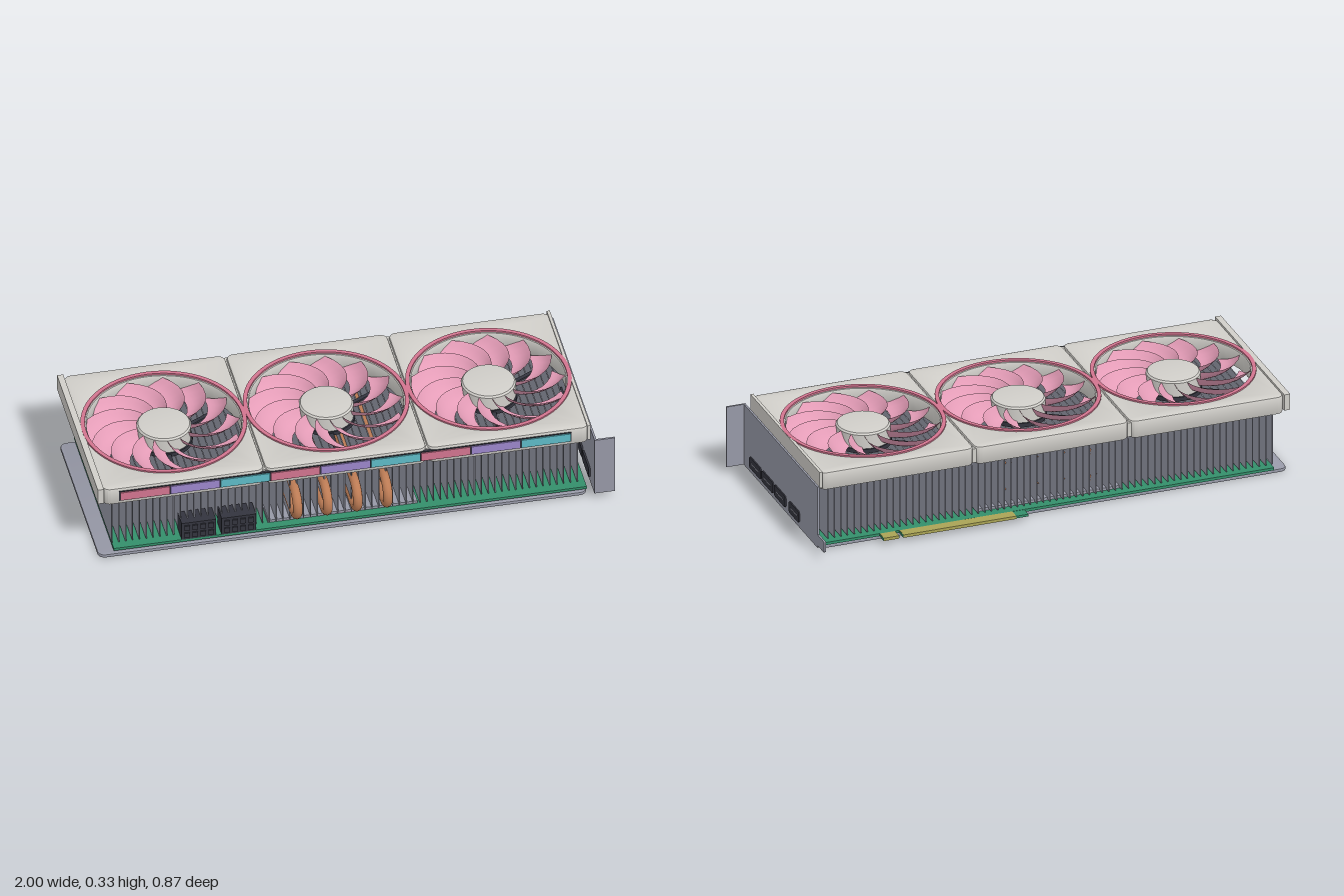
import * as THREE from 'three';
import { mergeGeometries, toCreasedNormals } from 'three/addons/utils/BufferGeometryUtils.js';

const mat = (name, color, side = THREE.FrontSide) => {
  const m = new THREE.MeshStandardMaterial({ color, side });
  m.name = name;
  return m;
};

export function createModel() {
  const M = {
    shell: mat('shell white', 0xd0cec9),
    pink: mat('blade pink', 0xe59db8, THREE.DoubleSide),
    rose: mat('ring rose', 0xd2748f, THREE.DoubleSide),
    purple: mat('purple', 0x9b86cb),
    teal: mat('teal', 0x5dbac6),
    green: mat('board green', 0x348f6b),
    metal: mat('metal grey', 0x9698a6),
    dark: mat('dark plastic', 0x33343e),
    copper: mat('copper', 0xbd7c55),
    gold: mat('contact gold', 0xa9a355),
  };
  const root = new THREE.Group();
  const add = (name, geo, material, parent = root) => {
    const mesh = new THREE.Mesh(geo, material);
    mesh.name = name;
    parent.add(mesh);
    return mesh;
  };
  // box given by its minimum and maximum on each axis
  const boxGeo = (x0, x1, y0, y1, z0, z1) =>
    new THREE.BoxGeometry(x1 - x0, y1 - y0, z1 - z0)
      .translate((x0 + x1) / 2, (y0 + y1) / 2, (z0 + z1) / 2);
  const box = (name, material, ...b) => add(name, boxGeo(...b), material);

  // rounded rectangle outline
  const roundRect = (x0, x1, y0, y1, r) => {
    const s = new THREE.Shape();
    s.absarc(x1 - r, y1 - r, r, 0, Math.PI / 2);
    s.absarc(x0 + r, y1 - r, r, Math.PI / 2, Math.PI);
    s.absarc(x0 + r, y0 + r, r, Math.PI, Math.PI * 1.5);
    s.absarc(x1 - r, y0 + r, r, Math.PI * 1.5, Math.PI * 2);
    return s;
  };
  // horizontal slab with bevelled edges and an optional round hole
  const slab = (x0, x1, y0, y1, z0, z1, r, bevel, hole) => {
    const s = roundRect(x0 + bevel, x1 - bevel, -z1 + bevel, -z0 - bevel, r);
    if (hole) {
      const h = new THREE.Path();
      h.absarc(hole.x, -hole.z, hole.r + bevel, 0, Math.PI * 2, true);
      s.holes.push(h);
    }
    const g = new THREE.ExtrudeGeometry(s, {
      depth: y1 - y0 - 2 * bevel, bevelEnabled: bevel > 0, bevelSize: bevel,
      bevelThickness: bevel, bevelSegments: 2, curveSegments: hole ? 32 : 8,
    });
    g.rotateX(-Math.PI / 2).translate(0, y0 + bevel, 0);
    return toCreasedNormals(g, 0.5);
  };

  // backplate, circuit board and spacers
  add('backplate', slab(-0.995, 0.9, 0, 0.014, -0.33, 0.385, 0.025, 0.003), M.metal);
  box('circuitBoard', M.green, -0.935, 0.9, 0.02, 0.031, -0.345, 0.375);
  for (const x of [-0.85, -0.3, 0.25, 0.82]) for (const z of [-0.235, 0.28]) {
    add('spacer', new THREE.CylinderGeometry(0.017, 0.017, 0.008, 16).translate(x, 0.017, z), M.green);
  }

  // edge connector with two groups of contacts
  box('edgeTab', M.green, 0.08, 0.59, 0.021, 0.03, -0.388, -0.345);
  box('edgeTabShort', M.green, 0.605, 0.67, 0.021, 0.03, -0.388, -0.345);
  box('contacts', M.gold, 0.13, 0.588, 0.0195, 0.0315, -0.39, -0.346);
  box('contactsShort', M.gold, 0.607, 0.668, 0.0195, 0.0315, -0.39, -0.346);

  // cooling fins, standing across the board
  const fins = [];
  const finCount = 69;
  for (let i = 0; i < finCount; i++) {
    const x = -0.935 + (i * 1.805) / (finCount - 1);
    fins.push(boxGeo(x - 0.002, x + 0.002, 0.036, 0.243, -0.325, 0.345));
  }
  add('coolingFins', mergeGeometries(fins), M.metal);
  box('coldPlate', M.metal, -0.33, 0.25, 0.031, 0.042, -0.3, 0.34);

  // heat pipes looping out of the front of the fins
  for (const x of [-0.23, -0.113, 0.003, 0.12]) {
    const path = new THREE.CurvePath();
    const v = (y, z) => new THREE.Vector3(x, y, z);
    path.add(new THREE.LineCurve3(v(0.08, -0.28), v(0.08, 0.345)));
    path.add(new THREE.CubicBezierCurve3(v(0.08, 0.345), v(0.08, 0.44), v(0.19, 0.44), v(0.19, 0.345)));
    path.add(new THREE.LineCurve3(v(0.19, 0.345), v(0.19, -0.28)));
    add('heatPipe', new THREE.TubeGeometry(path, 96, 0.0185, 12), M.copper);
  }

  // power sockets with two rows of pin holes
  for (const x of [-0.605, -0.45]) {
    box('powerSocket', M.dark, x - 0.067, x + 0.067, 0.031, 0.108, 0.3, 0.376);
    for (let i = 0; i < 4; i++) for (const y of [0.052, 0.086]) {
      const px = x + (i - 1.5) * 0.031;
      box('powerPin', M.dark, px - 0.01, px + 0.01, y - 0.011, y + 0.011, 0.37, 0.382);
    }
  }

  // one swept, pitched blade bent from a flat grid
  const bladeGeo = (turn) => {
    const g = new THREE.PlaneGeometry(1, 1, 6, 8);
    const p = g.attributes.position;
    for (let i = 0; i < p.count; i++) {
      const u = p.getX(i) + 0.5, v = p.getY(i) + 0.5;
      const r = 0.095 + 0.2 * v - 0.02 * v * u * u;
      const a = turn + 0.5 * v * v + 0.1 * v + (u - 0.5) * (0.42 - 0.05 * v);
      const y = 0.316 - 0.05 * u - 0.012 * Math.sin(Math.PI * u);
      p.setXYZ(i, r * Math.cos(a), y, -r * Math.sin(a));
    }
    g.computeVertexNormals();
    return g;
  };
  const lathe = (pts, n = 64) =>
    toCreasedNormals(new THREE.LatheGeometry(pts.map(([x, y]) => new THREE.Vector2(x, y)), n), 0.5);

  // three shroud modules, each with its fan
  const fanZ = 0.022;
  [-0.665, -0.035, 0.595].forEach((x) => {
    add('shroudModule', slab(x - 0.313, x + 0.313, 0.25, 0.325, -0.345, 0.388, 0.02, 0.01,
      { x, z: fanZ, r: 0.293 }), M.shell);
    const fan = new THREE.Group();
    fan.name = 'fan';
    fan.position.set(x, 0, fanZ);
    root.add(fan);
    add('fanRing', lathe([[0.3, 0.262], [0.3, 0.331], [0.316, 0.331], [0.316, 0.322]]), M.rose, fan);
    const blades = [];
    for (let i = 0; i < 13; i++) blades.push(bladeGeo((i * Math.PI * 2) / 13));
    add('fanBlades', mergeGeometries(blades), M.pink, fan);
    add('fanHub', lathe([[0, 0.26], [0.104, 0.26], [0.104, 0.316], [0.098, 0.323],
      [0.08, 0.326], [0, 0.327]], 40), M.shell, fan);
    add('fanMotor', new THREE.CylinderGeometry(0.11, 0.11, 0.017, 32).translate(0, 0.2515, 0), M.dark, fan);
    for (let i = 0; i < 3; i++) {
      const strut = boxGeo(0.1, 0.3, 0.246, 0.254, -0.008, 0.008);
      add('fanStrut', strut.rotateY(0.5 + (i * Math.PI * 2) / 3), M.dark, fan);
    }
  });

  // seams between modules and end caps
  for (const x of [-0.35, 0.28]) box('shroudJoint', M.shell, x - 0.008, x + 0.008, 0.258, 0.316, -0.335, 0.378);
  box('endCapRight', M.shell, -1, -0.976, 0.264, 0.33, -0.345, 0.388);
  box('endCapLeft', M.shell, 0.9, 0.912, 0.264, 0.33, -0.345, 0.388);

  // coloured light strip along the front of the shroud
  box('lightStripFrame', M.dark, -0.918, 0.838, 0.268, 0.312, 0.38, 0.391);
  for (let i = 0; i < 9; i++) {
    const x = -0.915 + i * 0.1945;
    box('lightSegment', [M.rose, M.purple, M.teal][i % 3], x + 0.002, x + 0.1925, 0.272, 0.308, 0.385, 0.396);
  }

  // mounting bracket with bent foot and lower tongue
  box('bracketPlate', M.metal, 0.921, 0.929, 0.025, 0.28, -0.365, 0.415);
  box('bracketFoot', M.metal, 0.921, 1, 0.027, 0.28, 0.411, 0.419);
  add('bracketTongue', new THREE.ExtrudeGeometry(roundRect(0.355, 0.435, 0.035, 0.08, 0.006),
    { depth: 0.008, bevelEnabled: false }).rotateY(Math.PI / 2).translate(0.921, 0, 0), M.metal);

  // display ports on the bracket
  [[0.285, 0.118], [0.154, 0.118], [0.023, 0.118], [-0.126, 0.106]].forEach(([z, w]) => {
    const s = roundRect(-z - w / 2, -z + w / 2, 0.046, 0.093, 0.01);
    add('displayPort', new THREE.ExtrudeGeometry(s, { depth: 0.02, bevelEnabled: false, curveSegments: 6 })
      .rotateY(Math.PI / 2).translate(0.914, 0, 0), M.dark);
    box('portContact', M.metal, 0.93, 0.936, 0.067, 0.073, z - w * 0.32, z + w * 0.32);
  });
  return root;
}
